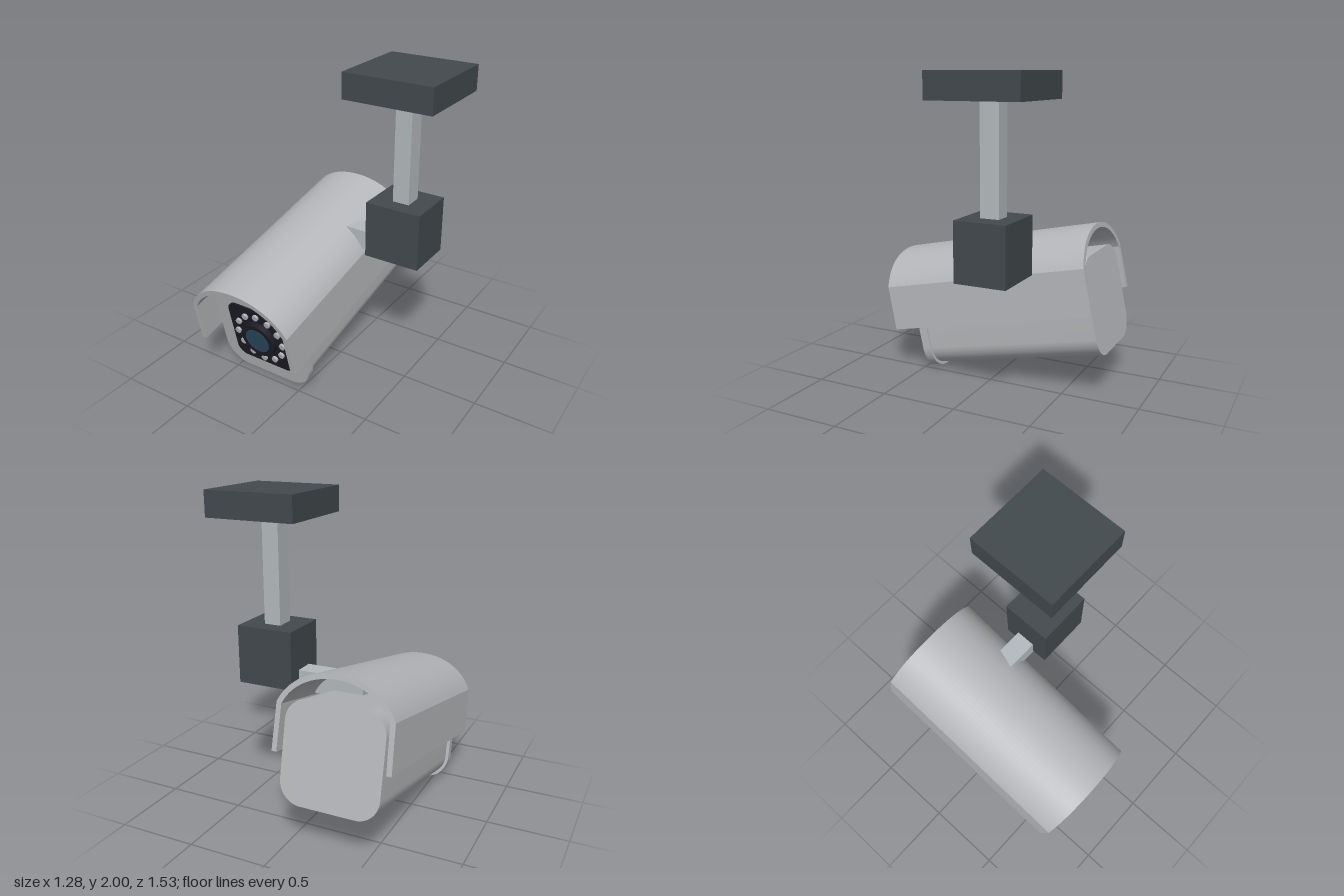
import * as THREE from 'three';
import { toCreasedNormals } from 'three/addons/utils/BufferGeometryUtils.js';

function material(name, color) {
  const m = new THREE.MeshStandardMaterial({ color });
  m.name = name;
  return m;
}

function roundedSquare(half, r) {
  const s = new THREE.Shape();
  const c = half - r;
  s.absarc(c, c, r, 0, Math.PI / 2);
  s.absarc(-c, c, r, Math.PI / 2, Math.PI);
  s.absarc(-c, -c, r, Math.PI, Math.PI * 1.5);
  s.absarc(c, -c, r, Math.PI * 1.5, Math.PI * 2);
  s.closePath();
  return s;
}

// Arched hood section, open below, with an even wall
function hoodSection(top, wall) {
  const s = new THREE.Shape();
  const w = wall;
  s.moveTo(-0.372, top - 0.504);
  s.lineTo(-0.365, top - 0.21);
  s.bezierCurveTo(-0.30, top - 0.07, -0.16, top, 0, top);
  s.bezierCurveTo(0.16, top, 0.30, top - 0.07, 0.365, top - 0.21);
  s.lineTo(0.372, top - 0.504);
  s.lineTo(0.372 - w, top - 0.504);
  s.lineTo(0.365 - w, top - 0.22);
  s.bezierCurveTo(0.28, top - 0.07 - w, 0.15, top - w, 0, top - w);
  s.bezierCurveTo(-0.15, top - w, -0.28, top - 0.07 - w, w - 0.365, top - 0.22);
  s.lineTo(w - 0.372, top - 0.504);
  s.closePath();
  return s;
}

export function createModel() {
  const model = new THREE.Group();
  model.name = 'securityCamera';
  const shell = material('shell grey', 0xb4b6b9);
  const metal = material('bracket grey', 0xb3b9bc);
  const dark = material('mount charcoal', 0x42494d);
  const black = material('panel black', 0x1d1c25);
  const glass = material('lens blue', 0x2a4a5e);

  const add = (parent, name, geometry, mat, x = 0, y = 0, z = 0) => {
    const mesh = new THREE.Mesh(geometry, mat);
    mesh.name = name;
    mesh.position.set(x, y, z);
    parent.add(mesh);
    return mesh;
  };
  const extrude = (shape, depth) => toCreasedNormals(
    new THREE.ExtrudeGeometry(shape, { depth, bevelEnabled: false, curveSegments: 16 }), 0.3);
  const disc = (r, length, sides) =>
    new THREE.CylinderGeometry(r, r, length, sides).rotateX(Math.PI / 2);

  // Ceiling mount
  add(model, 'ceilingPlate', new THREE.BoxGeometry(0.58, 0.16, 0.58), dark, 0.35, 1.92, -0.2);
  add(model, 'pole', new THREE.BoxGeometry(0.11, 0.67, 0.12), metal, 0.35, 1.505, -0.195);
  add(model, 'jointBox', new THREE.BoxGeometry(0.37, 0.37, 0.33), dark, 0.35, 0.985, -0.195);
  add(model, 'sideArm', new THREE.BoxGeometry(0.66, 0.13, 0.13), metal, 0.06, 0.84, -0.2);

  // Camera head, tilted down; local origin is the centre of the front face
  const head = new THREE.Group();
  head.name = 'cameraHead';
  head.position.set(-0.272, 0.327, 0.514);
  head.rotation.x = THREE.MathUtils.degToRad(12);
  model.add(head);

  add(head, 'body', extrude(roundedSquare(0.313, 0.14), 1.18), shell, 0, 0, -1.236);
  add(head, 'frontPlate', extrude(roundedSquare(0.333, 0.16), 0.056), shell, 0, 0, -0.056);
  add(head, 'hood', extrude(hoodSection(0.485, 0.032), 1.416), shell, 0, 0, -1.257);

  // Lens panel with a ring of small lamps
  add(head, 'lensPanel', extrude(roundedSquare(0.2275, 0.07), 0.009), black);
  add(head, 'lensRing', disc(0.127, 0.045, 40), black, 0, 0, 0.0225);
  add(head, 'lens', disc(0.09, 0.006, 40), glass, 0, 0, 0.046);
  const lamps = new THREE.Group();
  lamps.name = 'lamps';
  head.add(lamps);
  for (let i = 0; i < 12; i++) {
    const a = i * Math.PI / 6;
    add(lamps, 'lamp', disc(0.022, 0.025, 8), shell, 0.176 * Math.cos(a), 0.176 * Math.sin(a), 0.0125);
  }
  return model;
}
